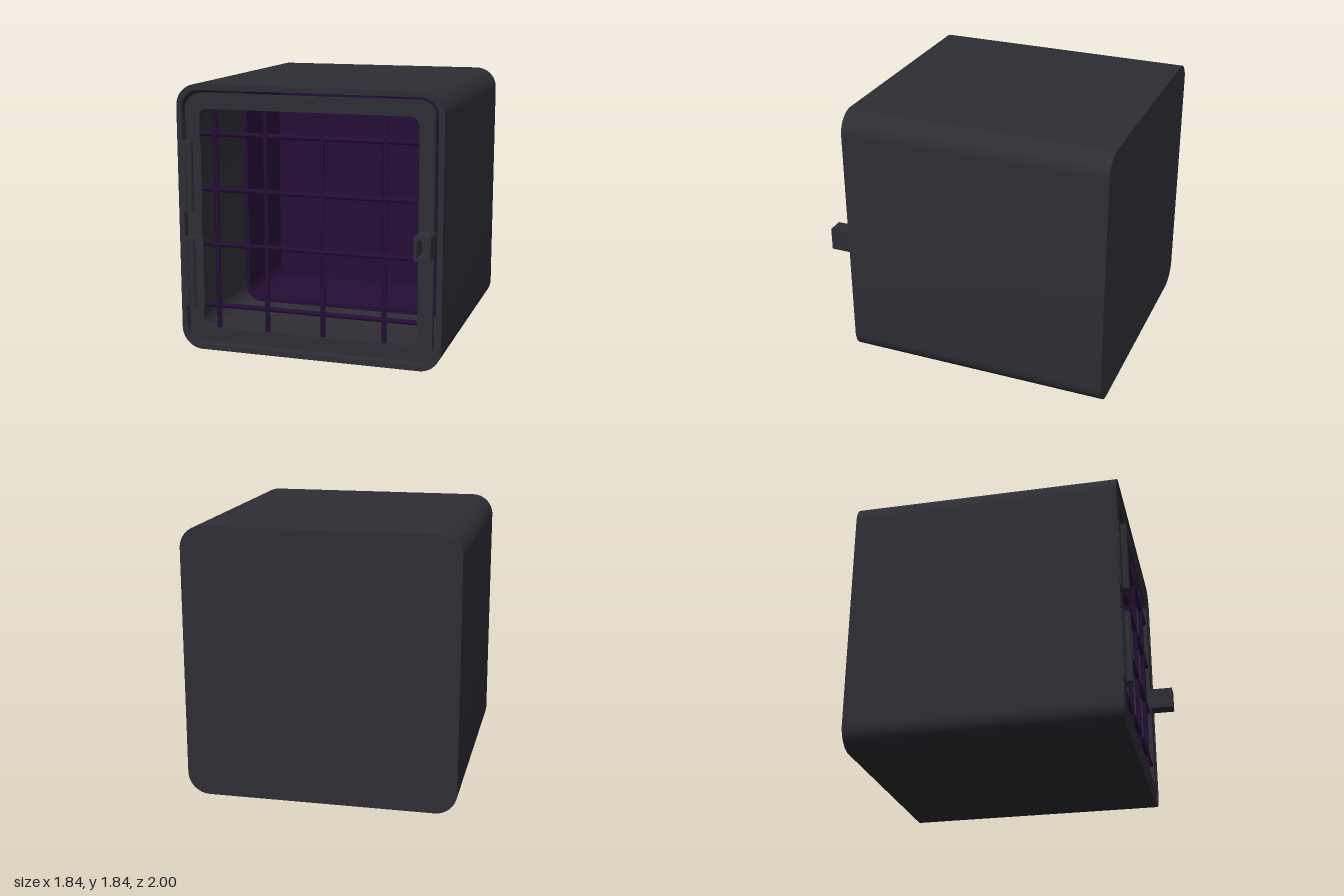
import * as THREE from 'three';
import { toCreasedNormals } from 'three/addons/utils/BufferGeometryUtils.js';

const MID_Y = 0.92; // centre height of the box

// Rounded rectangle outline centred on (cx, cy)
function roundRect(target, hw, hh, r, cx = 0, cy = MID_Y) {
  const x0 = cx - hw, x1 = cx + hw, y0 = cy - hh, y1 = cy + hh;
  target.moveTo(x0 + r, y0);
  target.lineTo(x1 - r, y0);
  target.absarc(x1 - r, y0 + r, r, -Math.PI / 2, 0);
  target.lineTo(x1, y1 - r);
  target.absarc(x1 - r, y1 - r, r, 0, Math.PI / 2);
  target.lineTo(x0 + r, y1);
  target.absarc(x0 + r, y1 - r, r, Math.PI / 2, Math.PI);
  target.lineTo(x0, y0 + r);
  target.absarc(x0 + r, y0 + r, r, Math.PI, Math.PI * 1.5);
  return target;
}

// Extrudes an outline, with an optional hole, from z0 to z1
function slab(outer, inner, z0, z1) {
  const shape = roundRect(new THREE.Shape(), ...outer);
  if (inner) shape.holes.push(roundRect(new THREE.Path(), ...inner));
  const geo = new THREE.ExtrudeGeometry(shape, { depth: z1 - z0, bevelEnabled: false, curveSegments: 12 });
  geo.translate(0, 0, z0);
  return toCreasedNormals(geo, 0.6);
}

export function createModel() {
  const model = new THREE.Group();
  const grey = new THREE.MeshStandardMaterial({ color: 0x2d2d34 });
  grey.name = 'charcoal';
  const purple = new THREE.MeshStandardMaterial({ color: 0x240d36 });
  purple.name = 'deep purple';

  function add(parent, name, geo, mat, x = 0, y = 0, z = 0) {
    const mesh = new THREE.Mesh(geo, mat);
    mesh.name = name;
    mesh.position.set(x, y, z);
    parent.add(mesh);
    return mesh;
  }

  // Outer shell: open tube with a flat back
  add(model, 'shell', slab([0.918, 0.92, 0.15], [0.88, 0.882, 0.125], -0.97, 0.84), grey);
  add(model, 'backPanel', slab([0.918, 0.92, 0.15], null, -1, -0.97), grey);

  // Lining around the rear of the interior
  add(model, 'liner', slab([0.88, 0.882, 0.125], [0.85, 0.852, 0.1], -0.95, -0.25), purple);
  add(model, 'linerBack', slab([0.88, 0.882, 0.125], null, -0.969, -0.95), purple);

  // Door: frame and crossed bars
  const door = new THREE.Group();
  door.name = 'door';
  model.add(door);
  add(door, 'doorFrame', slab([0.857, 0.86, 0.11], [0.755, 0.757, 0.06], 0.785, 0.835), grey);
  const bar = new THREE.CylinderGeometry(0.017, 0.017, 1.56, 12);
  for (const x of [-0.65, -0.295, 0.1, 0.525]) add(door, 'verticalBar', bar, purple, x, MID_Y, 0.81);
  for (const y of [0.32, 0.75, 1.13, 1.508]) {
    add(door, 'horizontalBar', bar, purple, 0, y, 0.81).rotation.z = Math.PI / 2;
  }

  // Hinges: leaf plate and round pin
  for (const y of [0.555, 1.215]) {
    const hinge = new THREE.Group();
    hinge.name = 'hinge';
    hinge.position.set(-0.822, y, 0);
    model.add(hinge);
    add(hinge, 'hingeLeaf', new THREE.BoxGeometry(0.155, 0.49, 0.015), grey, 0, 0, 0.84);
    add(hinge, 'hingePin', new THREE.CylinderGeometry(0.025, 0.025, 0.49, 16), grey, 0, 0, 0.867);
  }

  // Latch: hollow square handle with a recessed floor
  const latch = new THREE.Group();
  latch.name = 'latch';
  latch.position.set(0.82, 0.862, 0);
  model.add(latch);
  const wall = 0.02, w = 0.11, h = 0.156, depth = 0.17, midZ = 0.915;
  for (const s of [-1, 1]) {
    add(latch, 'latchSide', new THREE.BoxGeometry(wall, h, depth), grey, s * (w - wall) / 2, 0, midZ);
    add(latch, 'latchCap', new THREE.BoxGeometry(w - 2 * wall, wall, depth), grey, 0, s * (h - wall) / 2, midZ);
  }
  add(latch, 'latchFloor', new THREE.BoxGeometry(w - 2 * wall, h - 2 * wall, 0.03), grey, 0, 0, 0.845);

  return model;
}
